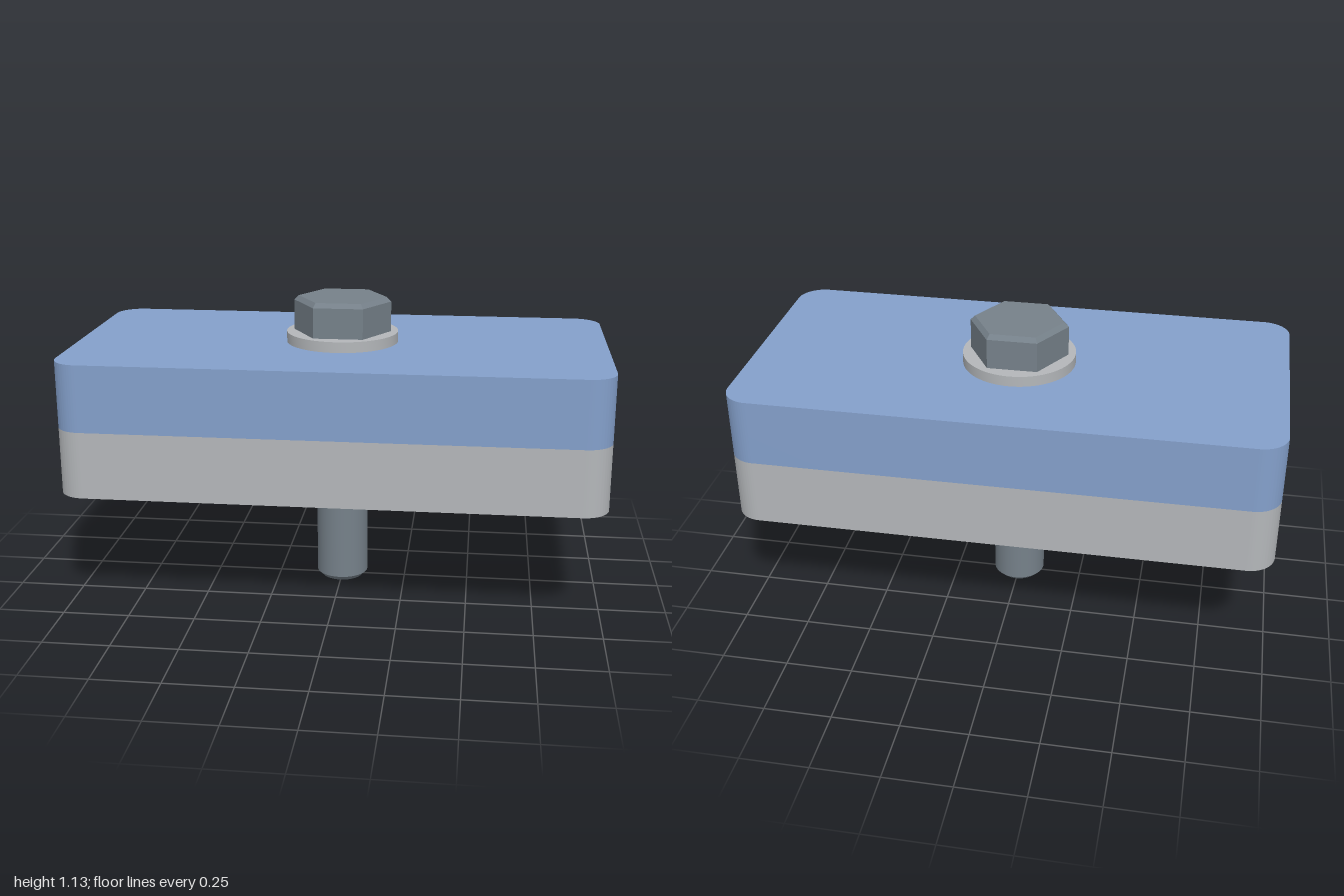
import * as THREE from 'three';
import { toCreasedNormals } from 'three/addons/utils/BufferGeometryUtils.js';

const blue = new THREE.MeshStandardMaterial({ name: 'blue plate', color: 0x84a0cb });
const grey = new THREE.MeshStandardMaterial({ name: 'light grey', color: 0xb4b7ba });
const steel = new THREE.MeshStandardMaterial({ name: 'dark steel', color: 0x76818a });

function part(name, geometry, material) {
  const mesh = new THREE.Mesh(toCreasedNormals(geometry, 0.5), material);
  mesh.name = name;
  return mesh;
}

// Extrude a flat outline with a round hole upwards from y
function drilled(shape, holeRadius, y, height) {
  const hole = new THREE.Path();
  hole.absarc(0, 0, holeRadius, 0, Math.PI * 2, true);
  shape.holes.push(hole);
  return new THREE.ExtrudeGeometry(shape, { depth: height, bevelEnabled: false, curveSegments: 32 })
    .rotateX(-Math.PI / 2)
    .translate(0, y, 0);
}

// Rounded rectangle, 2 x 1
function plateOutline(w = 1, d = 0.5, r = 0.1) {
  const s = new THREE.Shape();
  s.absarc(w - r, d - r, r, 0, Math.PI / 2);
  s.absarc(r - w, d - r, r, Math.PI / 2, Math.PI);
  s.absarc(r - w, r - d, r, Math.PI, Math.PI * 1.5);
  s.absarc(w - r, r - d, r, Math.PI * 1.5, Math.PI * 2);
  s.closePath();
  return s;
}

// Turned profile, listed from bottom to top
function turned(points, segments, start = 0) {
  return new THREE.LatheGeometry(points.map(([r, y]) => new THREE.Vector2(r, y)), segments, start);
}

export function createModel() {
  const model = new THREE.Group();
  model.name = 'boltedPlates';

  // Clamped plates with a clearance hole
  model.add(part('lowerPlate', drilled(plateOutline(), 0.115, 0.46, 0.25), grey));
  model.add(part('upperPlate', drilled(plateOutline(), 0.115, 0.71, 0.25), blue));

  // Washer
  const disc = new THREE.Shape().absarc(0, 0, 0.212, 0, Math.PI * 2);
  model.add(part('washer', drilled(disc, 0.108, 0.96, 0.04), grey));

  // Bolt: chamfered shank and hexagonal head, corners along x
  const bolt = new THREE.Group();
  bolt.name = 'bolt';
  bolt.add(part('shank', turned([[0, 0], [0.08, 0], [0.1, 0.02], [0.1, 1]], 48), steel));
  bolt.add(part('hexHead',
    turned([[0, 1], [0.185, 1], [0.185, 1.114], [0.168, 1.131], [0, 1.131]], 6, Math.PI / 6), steel));
  model.add(bolt);

  return model;
}
